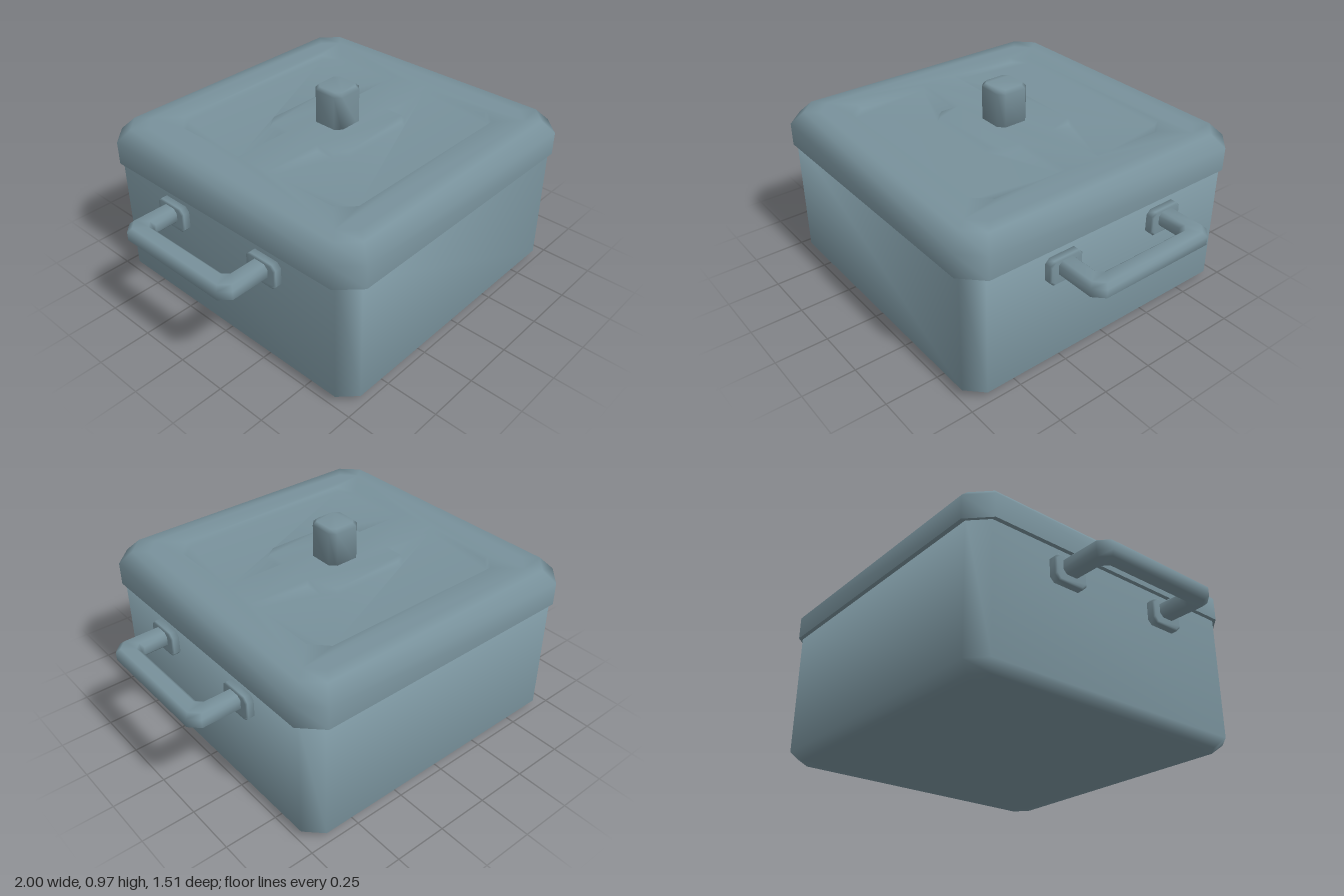
import * as THREE from 'three';
import { mergeVertices } from 'three/addons/utils/BufferGeometryUtils.js';

// Rectangle with cut corners, counter-clockwise in (u, v)
function cutRect(w, h, c) {
  return [
    [-w + c, -h], [w - c, -h], [w, -h + c], [w, h - c],
    [w - c, h], [-w + c, h], [-w, h - c], [-w, -h + c],
  ];
}
const atHeight = (loop, y) => loop.map(([u, v]) => [u, y, -v]);
const ringY = (half, c, y) => atHeight(cutRect(half, half, c), y);

// Triangles joining successive rings, with optional flat ends
function loft(rings, capStart = true, capEnd = true) {
  const out = [];
  const n = rings[0].length;
  for (let r = 0; r + 1 < rings.length; r++) {
    const a = rings[r], b = rings[r + 1];
    for (let i = 0; i < n; i++) {
      const j = (i + 1) % n;
      out.push(a[i], a[j], b[i], a[j], b[j], b[i]);
    }
  }
  const first = rings[0], last = rings[rings.length - 1];
  for (let i = 1; i + 1 < n; i++) {
    if (capStart) out.push(first[0], first[i + 1], first[i]);
    if (capEnd) out.push(last[0], last[i], last[i + 1]);
  }
  return out;
}

// Flat upward-facing area with holes
function sheet(outline, holes, y) {
  const toVec = (loop) => loop.map(([u, v]) => new THREE.Vector2(u, v));
  const all = atHeight([outline, ...holes].flat(), y);
  return THREE.ShapeUtils.triangulateShape(toVec(outline), holes.map(toVec))
    .flat().map((i) => all[i]);
}

// Move a counter-clockwise loop inward by d
function insetLoop(loop, d) {
  const n = loop.length;
  const normal = (p, q) => {
    const l = Math.hypot(q[0] - p[0], q[1] - p[1]);
    return [-(q[1] - p[1]) / l, (q[0] - p[0]) / l];
  };
  return loop.map((p, i) => {
    const a = normal(loop[(i + n - 1) % n], p);
    const b = normal(p, loop[(i + 1) % n]);
    const k = d / (1 + a[0] * b[0] + a[1] * b[1]);
    return [p[0] + (a[0] + b[0]) * k, p[1] + (a[1] + b[1]) * k];
  });
}

// Shared vertices give smooth normals
function smoothMesh(name, triangles, material) {
  let g = new THREE.BufferGeometry();
  g.setAttribute('position', new THREE.Float32BufferAttribute(triangles.flat(), 3));
  g = mergeVertices(g);
  g.computeVertexNormals();
  const mesh = new THREE.Mesh(g, material);
  mesh.name = name;
  return mesh;
}

export function createModel() {
  const model = new THREE.Group();
  model.name = 'squareCookingPot';
  const enamel = new THREE.MeshStandardMaterial({ color: 0x78919b });
  enamel.name = 'blueGreyEnamel';

  // Pot body
  model.add(smoothMesh('potBody', loft([
    ringY(0.64, 0.05, 0), ringY(0.69, 0.06, 0),
    ringY(0.735, 0.075, 0.04), ringY(0.735, 0.075, 0.65),
  ]), enamel));

  // Lid with two sunken panels
  const top = 0.79, floor = 0.77;
  const backPanel = [
    [-0.53, 0.09], [-0.23, 0.09], [-0.23, 0.19], [-0.18, 0.23],
    [0.18, 0.23], [0.23, 0.19], [0.23, 0.09], [0.53, 0.09],
    [0.53, 0.46], [0.46, 0.535], [-0.46, 0.535], [-0.53, 0.46],
  ];
  const panels = [backPanel, backPanel.map(([u, v]) => [-u, -v])];
  const lid = [
    ...loft([ringY(0.755, 0.095, 0.62), ringY(0.755, 0.095, 0.73),
      ringY(0.70, 0.08, top), ringY(0.64, 0.07, top)], false, false),
    ...sheet(cutRect(0.64, 0.64, 0.07), panels, top),
  ];
  for (const panel of panels) {
    const inner = insetLoop(panel, 0.015);
    lid.push(...loft([atHeight(panel, top), atHeight(inner, floor)], false, false));
    lid.push(...sheet(inner, [], floor));
  }
  model.add(smoothMesh('lid', lid, enamel));
  const under = ringY(0.755, 0.095, 0.62);
  model.add(smoothMesh('lidUnderside', loft([under], true, false), enamel));

  // Lid knob
  model.add(smoothMesh('lidKnob', loft([
    ringY(0.083, 0.028, 0.76), ringY(0.083, 0.028, 0.95), ringY(0.068, 0.022, 0.967),
  ]), enamel));

  // Handle bar stations: inner x, inner z, outer x, outer z
  const half = [
    [0.74, 0.24, 0.74, 0.33], [0.885, 0.24, 0.955, 0.33], [0.91, 0.215, 1, 0.285],
  ];
  const stations = [...half, ...half.slice().reverse().map(([a, b, c, d]) => [a, -b, c, -d])];
  const section = [
    [0, -0.02], [0, 0.02], [0.2, 0.0375], [0.8, 0.0375],
    [1, 0.02], [1, -0.02], [0.8, -0.0375], [0.2, -0.0375],
  ];
  const barRings = stations.map(([ix, iz, ox, oz]) => section.map(
    ([t, y]) => [ix + (ox - ix) * t, 0.5275 + y, iz + (oz - iz) * t]));

  // Side handles with mounting plates
  for (const [name, turn] of [['leftHandle', 0], ['rightHandle', Math.PI]]) {
    const handle = new THREE.Group();
    handle.name = name;
    handle.add(smoothMesh('handleBar', loft(barRings), enamel));
    for (const side of [-1, 1]) {
      const plateRing = (x, s) => cutRect(0.085 - s, 0.06 - s, 0.02)
        .map(([u, v]) => [x, 0.515 + v, side * 0.285 - u]);
      handle.add(smoothMesh('mountingPlate',
        loft([plateRing(0.72, 0), plateRing(0.765, 0), plateRing(0.772, 0.007)]), enamel));
    }
    handle.rotation.y = turn;
    model.add(handle);
  }
  return model;
}
